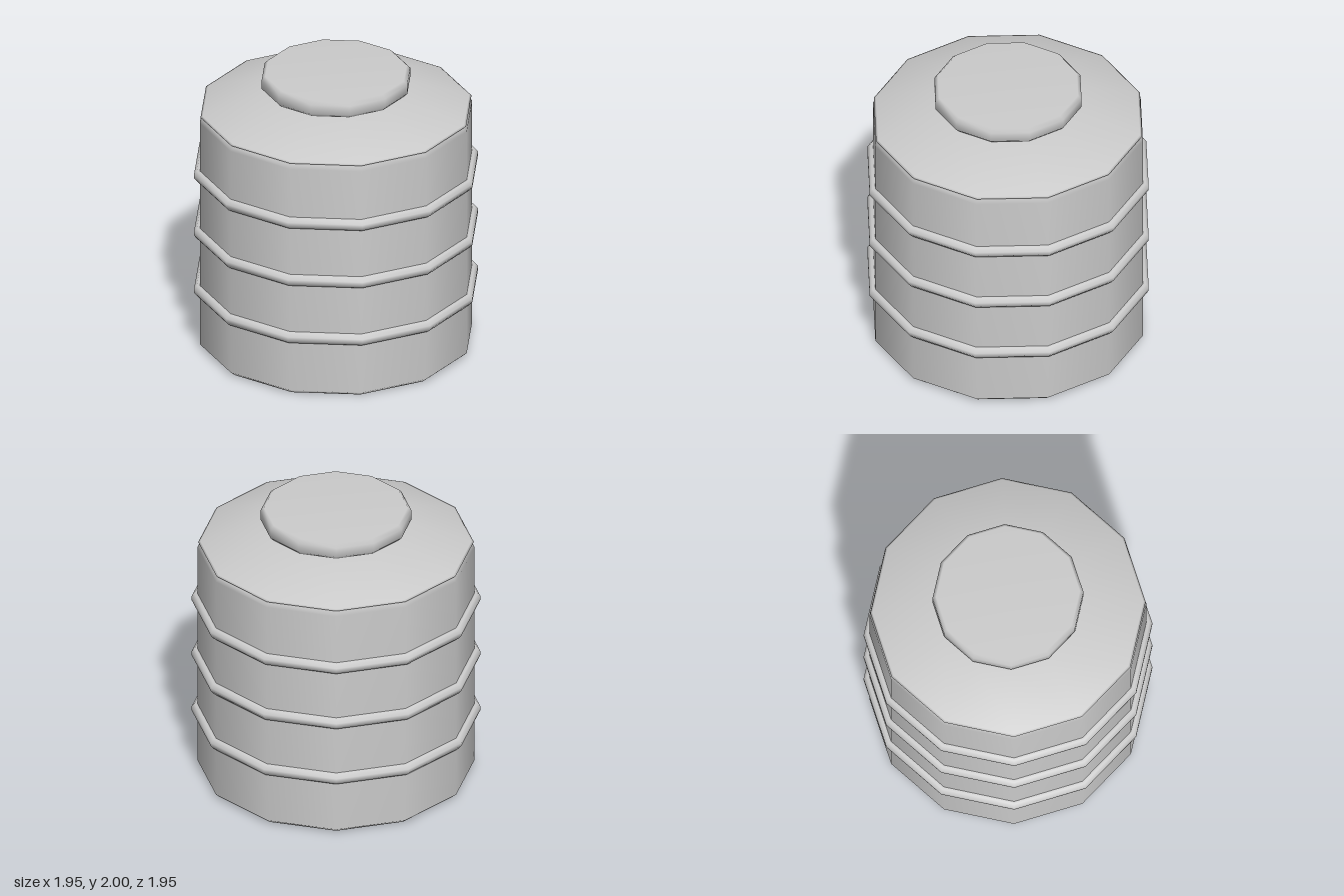
import * as THREE from 'three';

const SIDES = 12;
const material = new THREE.MeshStandardMaterial({ color: 0xcccccc });

// Revolve a bottom-to-top profile of [radius, height] pairs
function turned(name, profile, y = 0) {
  const points = profile.map(([r, h]) => new THREE.Vector2(r, h));
  const mesh = new THREE.Mesh(new THREE.LatheGeometry(points, SIDES), material);
  mesh.name = name;
  mesh.position.y = y;
  return mesh;
}

export function createModel() {
  const tank = new THREE.Group();
  tank.name = 'waterTank';

  // Straight wall with bevelled bottom and top edges
  tank.add(turned('body', [
    [0, 0], [0.9, 0], [0.935, 0.03], [0.935, 1.69], [0.9, 1.722], [0, 1.722],
  ]));

  // Sloping shoulder with a thin overhanging lip
  tank.add(turned('shoulder', [
    [0, 1.723], [0.915, 1.723], [0.93, 1.73], [0.915, 1.738], [0.5, 1.88], [0, 1.88],
  ]));

  // Reinforcing hoops
  for (const y of [0.433, 0.863, 1.293]) {
    tank.add(turned('hoop', [
      [0.92, -0.038], [0.955, -0.038], [0.975, -0.013],
      [0.975, 0.013], [0.955, 0.038], [0.92, 0.038],
    ], y));
  }

  // Bevelled lid
  tank.add(turned('lid', [
    [0, 1.878], [0.48, 1.878], [0.51, 1.908], [0.51, 1.975], [0.485, 2], [0, 2],
  ]));

  return tank;
}
